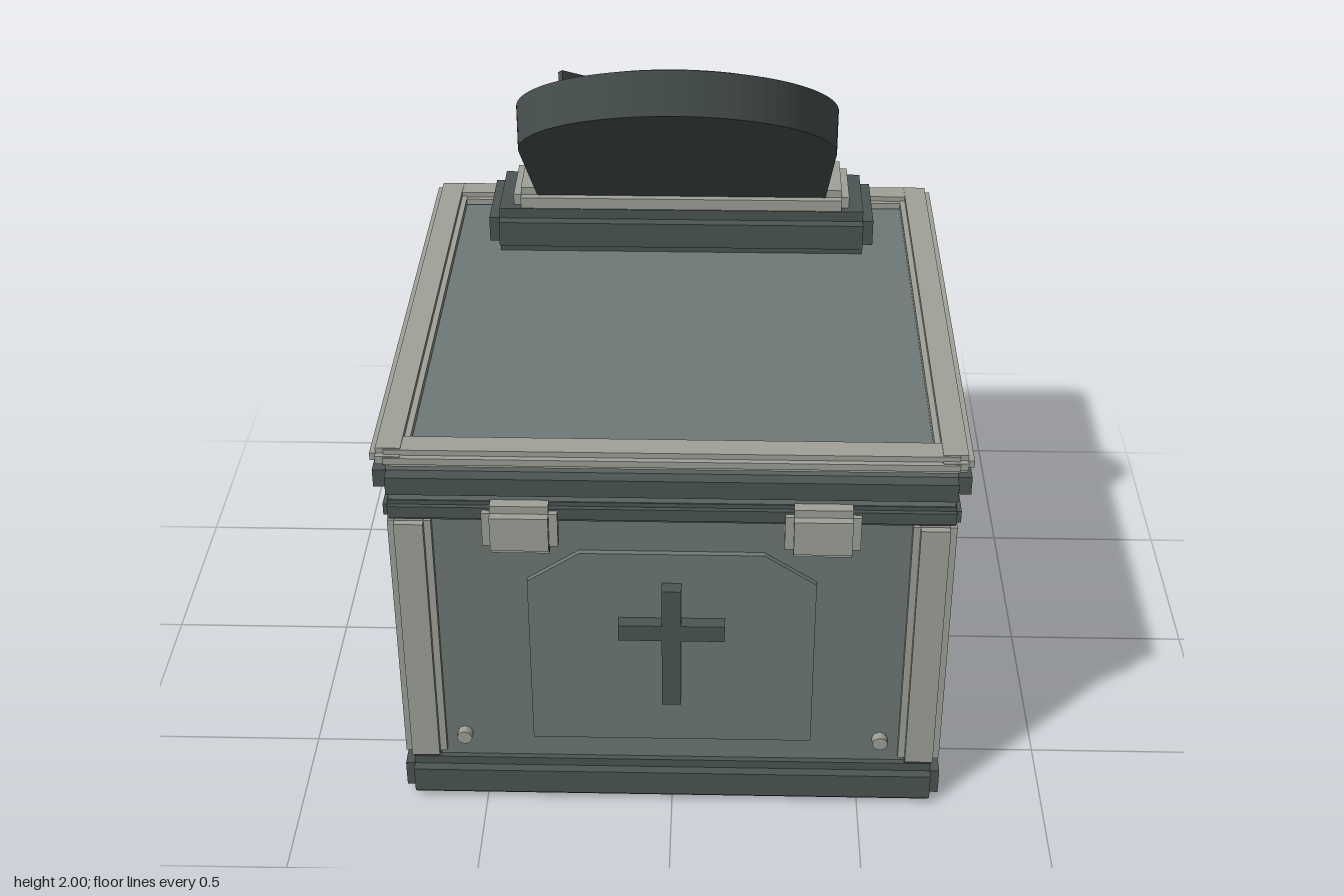
import * as THREE from 'three';
import { mergeGeometries } from 'three/addons/utils/BufferGeometryUtils.js';

const mat = (name, color) => {
  const m = new THREE.MeshStandardMaterial({ color });
  m.name = name;
  return m;
};

export function createModel() {
  const stone = mat('mid grey stone', 0x6f7977);
  const dark = mat('dark grey stone', 0x4c5654);
  const trim = mat('pale trim', 0xa0a399);
  const pale = mat('pale plaque', 0xaaada3);

  const model = new THREE.Group();
  model.name = 'tombChest';
  const chest = new THREE.Group();
  chest.name = 'chest';
  chest.position.z = 0.007;
  model.add(chest);

  const add = (parent, name, geometry, material) => {
    const mesh = new THREE.Mesh(geometry, material);
    mesh.name = name;
    parent.add(mesh);
    return mesh;
  };

  // Box given by its min and max corners
  const span = (x0, x1, y0, y1, z0, z1) =>
    new THREE.BoxGeometry(x1 - x0, y1 - y0, z1 - z0)
      .translate((x0 + x1) / 2, (y0 + y1) / 2, (z0 + z1) / 2);

  // Box whose edges are notched by a step of size b
  const stepped = (x0, x1, y0, y1, z0, z1, b) => mergeGeometries([
    span(x0, x1, y0 + b, y1 - b, z0 + b, z1 - b),
    span(x0 + b, x1 - b, y0, y1, z0 + b, z1 - b),
    span(x0 + b, x1 - b, y0 + b, y1 - b, z0, z1),
  ]);

  // Plinth, body and lid
  add(chest, 'plinth', stepped(-0.72, 0.72, 0, 0.125, -0.72, 0.72, 0.025), dark);
  add(chest, 'body', span(-0.68, 0.68, 0.1, 0.95, -0.68, 0.68), stone);
  add(chest, 'bodyRim', stepped(-0.72, 0.72, 0.92, 0.977, -0.72, 0.72, 0.012), dark);
  add(chest, 'lid', span(-0.705, 0.705, 0.97, 1.1, -0.705, 0.705), stone);
  add(chest, 'lidBand', span(-0.705, 0.705, 1.015, 1.065, -0.74, 0.74), dark);
  add(chest, 'lidBandSides', span(-0.74, 0.74, 1.015, 1.065, -0.705, 0.705), dark);

  // Corner posts
  for (const sx of [-1, 1]) for (const sz of [-1, 1]) {
    add(chest, 'cornerPost',
      stepped(-0.055, 0.055, 0.13, 0.925, -0.055, 0.055, 0.018), trim)
      .position.set(sx * 0.66, 0, sz * 0.66);
  }

  // Pale frame around the lid top
  for (const s of [-1, 1]) {
    add(chest, 'lidFrameSide', stepped(-0.046, 0.046, 1.09, 1.14, -0.735, 0.735, 0.015), trim)
      .position.x = s * 0.694;
    add(chest, 'lidFrameEnd', stepped(-0.72, 0.72, 1.09, 1.138, -0.046, 0.046, 0.015), trim)
      .position.z = s * 0.694;
  }

  // Raised panel, cross and bolts on each of the four walls
  const panelShape = new THREE.Shape([
    [-0.37, 0.2], [0.37, 0.2], [0.37, 0.72], [0.235, 0.81], [-0.235, 0.81], [-0.37, 0.72],
  ].map(([x, y]) => new THREE.Vector2(x, y)));
  const panelGeo = new THREE.ExtrudeGeometry(panelShape, { depth: 0.025, bevelEnabled: false })
    .translate(0, 0, 0.67);
  const crossGeo = mergeGeometries([
    span(-0.025, 0.025, 0.35, 0.72, 0.68, 0.732),
    span(-0.137, 0.137, 0.56, 0.608, 0.68, 0.73),
  ]);
  const boltGeo = new THREE.CylinderGeometry(0.021, 0.021, 0.04, 8).rotateX(Math.PI / 2);
  for (let i = 0; i < 4; i++) {
    const wall = new THREE.Group();
    wall.name = ['frontWall', 'leftWall', 'backWall', 'rightWall'][i];
    wall.rotation.y = i * Math.PI / 2;
    chest.add(wall);
    add(wall, 'panel', panelGeo, stone);
    add(wall, 'cross', crossGeo, dark);
    for (const s of [-1, 1]) add(wall, 'bolt', boltGeo, trim).position.set(s * 0.555, 0.2, 0.685);

    // Handles on the side walls
    if (i % 2) {
      add(wall, 'handlePlate', span(-0.163, 0.163, 0.625, 0.74, 0.68, 0.722), dark);
      add(wall, 'handle', stepped(-0.15, 0.15, 0.695, 0.74, 0.7, 0.758, 0.014), trim);
    }
    // Hinges on the front wall
    if (i === 0) for (const s of [-1, 1]) {
      add(wall, 'hinge', stepped(-0.095, 0.095, 0.838, 0.98, 0.68, 0.756, 0.022), trim)
        .position.x = s * 0.378;
    }
    // Latch with keyhole on the back wall
    if (i === 2) {
      add(wall, 'latch', stepped(-0.07, 0.07, 0.73, 0.978, 0.69, 0.76, 0.02), trim);
      add(wall, 'keyhole', span(-0.02, 0.02, 0.8, 0.88, 0.74, 0.769), dark);
    }
  }

  // Stepped foot of the headstone
  add(model, 'headstoneFoot', stepped(-0.55, 0.55, 1.1, 1.235, -0.636, -0.337, 0.03), dark);
  add(model, 'headstoneStep', stepped(-0.48, 0.48, 1.21, 1.29, -0.603, -0.37, 0.022), trim);

  // Leaning headstone: plan outlines in x and z, raised, then sheared along the slope
  const headstone = new THREE.Group();
  headstone.name = 'headstone';
  model.add(headstone);
  const slope = 0.784, faceY = 1.694;
  const shear = new THREE.Matrix4().set(
    1, 0, 0, 0,
    0, 1, slope, faceY,
    0, 0, 1, 0,
    0, 0, 0, 1);
  const lean = (shape, from, to) =>
    new THREE.ExtrudeGeometry(shape, { depth: to - from, bevelEnabled: false, curveSegments: 32 })
      .translate(0, 0, from).rotateX(-Math.PI / 2).applyMatrix4(shear);
  const arch = (halfW, zBack, zArch, zTip) => {
    const s = new THREE.Shape();
    s.moveTo(halfW, -zBack);
    s.lineTo(-halfW, -zBack);
    s.lineTo(-halfW, -zArch);
    s.absellipse(0, -zArch, halfW, zTip - zArch, Math.PI, Math.PI * 2, false);
    s.closePath();
    return s;
  };
  const strip = (x0, z0, x1, z1, w) => {
    const d = new THREE.Vector2(x1 - x0, z0 - z1).normalize().multiplyScalar(w / 2);
    return new THREE.Shape([
      new THREE.Vector2(x0 - d.y, -z0 + d.x), new THREE.Vector2(x0 + d.y, -z0 - d.x),
      new THREE.Vector2(x1 + d.y, -z1 - d.x), new THREE.Vector2(x1 - d.y, -z1 + d.x),
    ]);
  };
  add(headstone, 'slab', lean(arch(0.412, -0.492, 0.06, 0.39), -0.12, 0), dark);
  add(headstone, 'plaque', lean(arch(0.355, -0.44, 0.045, 0.325), -0.02, 0.024), pale);

  // Raised cross, inscription bars and cracks: x0, z0, x1, z1, width
  const marks = {
    crossUpright: [[0, -0.16, 0, 0.243, 0.068]],
    crossArm: [[-0.17, 0.062, 0.17, 0.062, 0.053]],
    inscriptionBar: [[-0.158, -0.341, 0.157, -0.341, 0.015], [-0.226, -0.26, 0.226, -0.26, 0.015]],
    crack: [
      [0.362, -0.428, 0.235, -0.33, 0.018], [0.235, -0.335, 0.294, -0.235, 0.018],
      [-0.236, 0.105, -0.205, 0.18, 0.018], [-0.203, 0.172, -0.283, 0.235, 0.018],
    ],
  };
  for (const [name, list] of Object.entries(marks))
    for (const m of list) add(headstone, name, lean(strip(...m), 0, 0.048), dark);

  return model;
}
